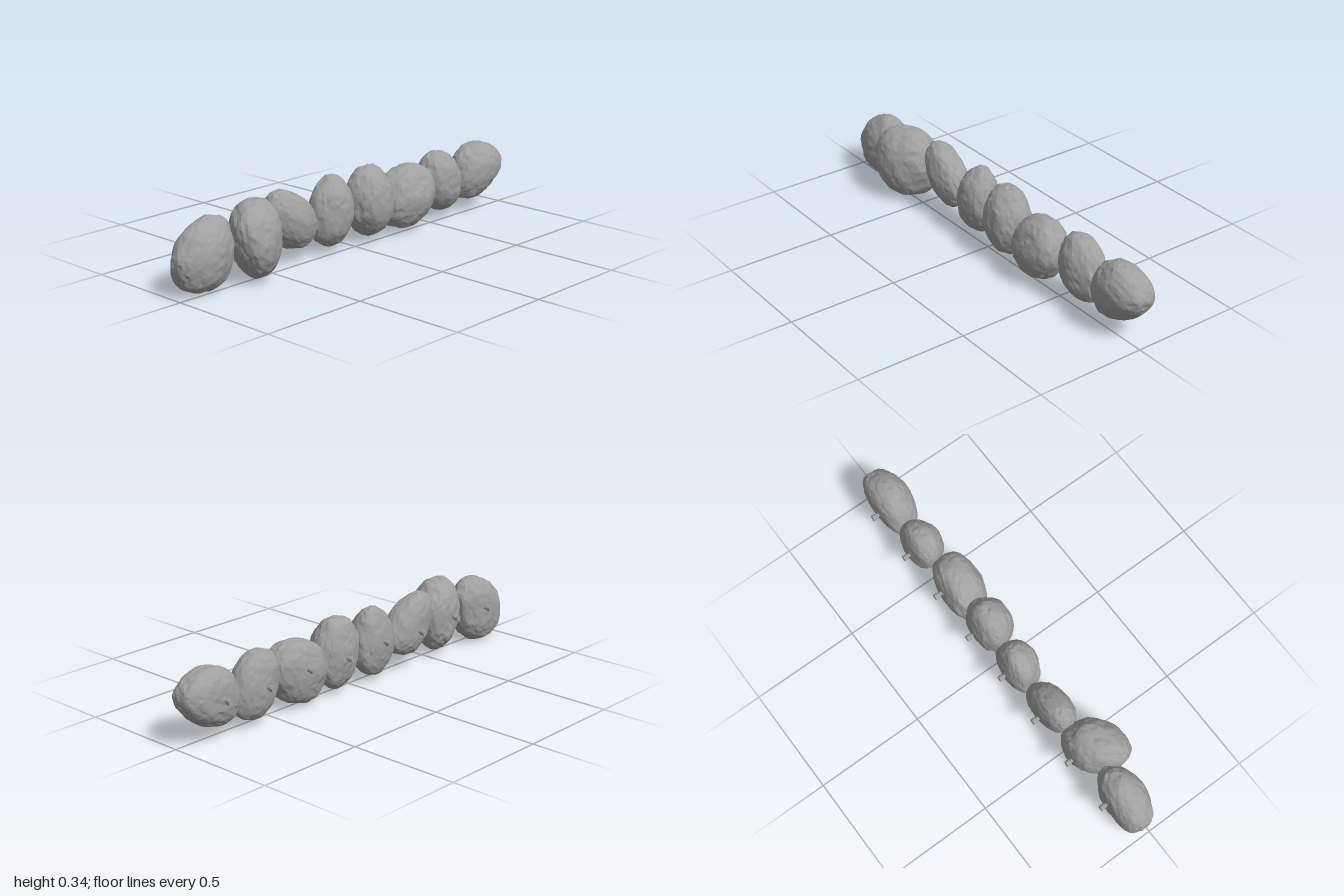
import * as THREE from 'three';

const stoneGrey = new THREE.MeshStandardMaterial({ color: 0xa0a0a0, flatShading: true });
stoneGrey.name = 'stone grey';

const BACK = -0.11;

// bounds, depth of the widest section, front depth; lean, taperY, taperX, twist shape the outline
const STONES = [
  { x: [-1.0, -0.7], y: [0.0, 0.315], mid: -0.03, front: 0.07, lean: 0.2, taperY: 0, taperX: 0.08, twist: 0 },
  { x: [-0.74, -0.465], y: [0.01, 0.345], mid: 0.02, front: 0.14, lean: -0.08, taperY: 0.16, taperX: 0, twist: -0.3 },
  { x: [-0.485, -0.215], y: [0.06, 0.335], mid: -0.04, front: 0.045, lean: -0.4, taperY: 0, taperX: -0.15, twist: 0 },
  { x: [-0.225, 0.0], y: [0.02, 0.34], mid: -0.04, front: 0.055, lean: 0.04, taperY: -0.14, taperX: 0, twist: 0 },
  { x: [-0.01, 0.235], y: [0.02, 0.345], mid: -0.03, front: 0.08, lean: -0.06, taperY: 0, taperX: 0, twist: 0 },
  { x: [0.195, 0.49], y: [0.015, 0.305], mid: -0.02, front: 0.095, lean: 0.14, taperY: 0, taperX: 0, twist: 0.1 },
  { x: [0.48, 0.725], y: [0.03, 0.32], mid: -0.04, front: 0.055, lean: -0.18, taperY: 0, taperX: 0, twist: 0 },
  { x: [0.7, 1.0], y: [0.05, 0.315], mid: -0.03, front: 0.07, lean: 0.2, taperY: 0, taperX: -0.2, twist: 0 },
];

// repeatable hash and smooth value noise for the rough surface
function hash(x, y, z) {
  const s = Math.sin(x * 127.1 + y * 311.7 + z * 74.7) * 43758.5453;
  return s - Math.floor(s);
}
function noise(x, y, z) {
  const c = [x, y, z].map(Math.floor);
  const f = [x - c[0], y - c[1], z - c[2]].map((t) => t * t * (3 - 2 * t));
  let sum = 0;
  for (let i = 0; i < 8; i++) {
    const b = [i & 1, (i >> 1) & 1, i >> 2];
    const w = b.reduce((p, on, k) => p * (on ? f[k] : 1 - f[k]), 1);
    sum += w * hash(c[0] + b[0], c[1] + b[1], c[2] + b[2]);
  }
  return sum * 2 - 1;
}

// rounded power that makes the ball a little boxier
const bulge = (v, p) => Math.sign(v) * Math.abs(v) ** p;

function makeStone(s, index) {
  const geometry = new THREE.IcosahedronGeometry(1, 8);
  const pos = geometry.attributes.position;
  const v = new THREE.Vector3();
  const seed = index * 17 + 5;
  for (let i = 0; i < pos.count; i++) {
    v.fromBufferAttribute(pos, i).normalize();
    // rounding keeps shared corners identical
    const [a, b, c] = [v.x, v.y, v.z].map((n) => Math.round(n * 1e4) / 1e4);
    const r = 1 + 0.05 * noise(a * 2 + seed, b * 2, c * 2) + 0.035 * noise(a * 7 + seed, b * 7, c * 7);
    const x = bulge(a, 0.94) * r;
    const y = bulge(b, 0.94) * r;
    const z = (c < 0 ? bulge(c, 0.75) : c) * r;
    pos.setXYZ(i, x * (1 + s.taperY * y) + s.lean * y + s.twist * z, y * (1 + s.taperX * x), z);
  }

  // fit the shaped ball into its bounds, with a flatter back half
  geometry.computeBoundingBox();
  const { min, max } = geometry.boundingBox;
  for (let i = 0; i < pos.count; i++) {
    const z = pos.getZ(i);
    pos.setXYZ(
      i,
      THREE.MathUtils.mapLinear(pos.getX(i), min.x, max.x, s.x[0], s.x[1]),
      THREE.MathUtils.mapLinear(pos.getY(i), min.y, max.y, s.y[0], s.y[1]),
      z < 0 ? s.mid + (z / min.z) * (BACK - s.mid) : s.mid + (z / max.z) * (s.front - s.mid),
    );
  }
  geometry.computeVertexNormals();
  const mesh = new THREE.Mesh(geometry, stoneGrey);
  mesh.name = `stone${index + 1}`;
  return mesh;
}

// short mounting peg with a slightly wider end
function makePeg(index) {
  const profile = [[0, 0], [0.009, 0], [0.009, 0.055], [0.013, 0.06], [0.013, 0.08], [0, 0.08]];
  const geometry = new THREE.LatheGeometry(profile.map((p) => new THREE.Vector2(...p)), 10);
  geometry.rotateX(-Math.PI / 2);
  const peg = new THREE.Mesh(geometry, stoneGrey);
  peg.name = `peg${index + 1}`;
  peg.position.set((index - 3.5) * 0.236, index % 2 ? 0.186 : 0.174, -0.06);
  return peg;
}

export function createModel() {
  const model = new THREE.Group();
  model.name = 'stoneRow';
  STONES.forEach((s, i) => model.add(makeStone(s, i), makePeg(i)));
  return model;
}
